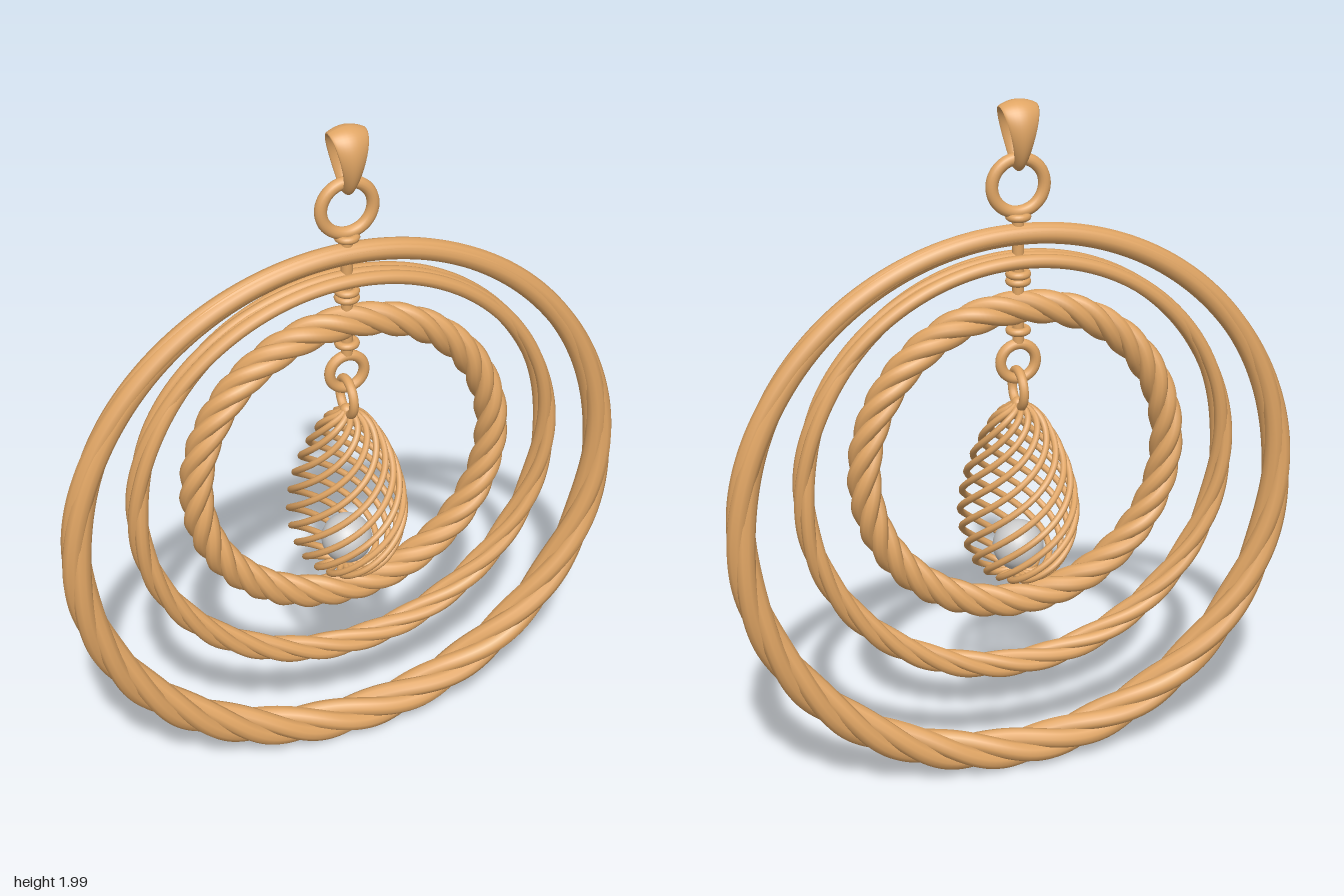
import * as THREE from 'three';

const bronze = new THREE.MeshStandardMaterial({ color: 0xe0a564 });
const grey = new THREE.MeshStandardMaterial({ color: 0xcccccc });

// Curve defined by a function of t in 0..1
class FnCurve extends THREE.Curve {
  constructor(fn) { super(); this.fn = fn; }
  getPoint(t, target = new THREE.Vector3()) { return target.copy(this.fn(t)); }
}

function add(parent, name, geometry, x = 0, y = 0, z = 0, material = bronze) {
  const mesh = new THREE.Mesh(geometry, material);
  mesh.name = name;
  mesh.position.set(x, y, z);
  parent.add(mesh);
  return mesh;
}

// Hoop of strands twisted round a circle. spread(k) gives the radial and
// z offsets of the strands, with k = 0 at the top and 1 at the bottom;
// ease slows the twist near the top.
function ropeHoop(name, { y, R, strand, count, turns, ease, spread }) {
  const hoop = new THREE.Group();
  hoop.name = name;
  hoop.position.y = y;
  for (let i = 0; i < count; i++) {
    const curve = new FnCurve((u) => {
      const t = u * Math.PI * 2;
      const phi = turns * (t - ease * Math.sin(t)) + (i / count) * Math.PI * 2;
      const [a, b] = spread((1 - Math.cos(t)) / 2);
      const r = R + a * Math.cos(phi);
      return new THREE.Vector3(r * Math.sin(t), r * Math.cos(t), b * Math.sin(phi));
    });
    curve.arcLengthDivisions = 600;
    add(hoop, name + 'Strand', new THREE.TubeGeometry(curve, 260, strand, 10, true));
  }
  return hoop;
}

// Teardrop loop, wide and ridged at the top, narrow at the bottom
function bailGeometry() {
  const N = 56, M = 24, pos = [], index = [];
  for (let i = 0; i <= N; i++) {
    const t = (i / N) * Math.PI * 2;
    const k = (1 + Math.cos(t)) / 2;
    const w = 0.016 + 0.036 * Math.pow(k, 1.2);
    const cy = 1.905 + 0.08 * Math.cos(t), cz = 0.052 * Math.sin(t) * (0.85 + 0.15 * Math.cos(t));
    const n = new THREE.Vector2(Math.sin(t) * 0.08, Math.cos(t) * 0.052).normalize();
    for (let j = 0; j <= M; j++) {
      const a = (j / M) * Math.PI * 2, s = Math.sin(a);
      const h = 0.016 * s * (0.55 + 0.45 * s * s);
      pos.push(w * Math.cos(a), cy + n.y * h, cz + n.x * h);
      if (i < N && j < M) {
        const p = i * (M + 1) + j, q = p + M + 1;
        index.push(p, p + 1, q, p + 1, q + 1, q);
      }
    }
  }
  const g = new THREE.BufferGeometry();
  g.setAttribute('position', new THREE.Float32BufferAttribute(pos, 3));
  g.setIndex(index);
  g.computeVertexNormals();
  return g;
}

export function createModel() {
  const model = new THREE.Group();
  model.name = 'pendant';

  // Three nested twisted hoops
  model.add(ropeHoop('outerHoop', {
    y: 0.85, R: 0.785, strand: 0.028, count: 4, turns: 4, ease: 0.9,
    spread: (k) => [0.002 + 0.028 * k, 0.002 + 0.03 * k],
  }));
  model.add(ropeHoop('middleHoop', {
    y: 0.956, R: 0.609, strand: 0.019, count: 4, turns: 4, ease: 0.9,
    spread: (k) => [0.002 + 0.018 * k, 0.025 - 0.004 * k],
  }));
  model.add(ropeHoop('innerHoop', {
    y: 0.99, R: 0.44, strand: 0.023, count: 4, turns: 8, ease: 0,
    spread: () => [0.024, 0.024],
  }));

  // Bail and hanging ring
  const bail = add(model, 'bail', bailGeometry());
  bail.material = bronze.clone();
  bail.material.side = THREE.DoubleSide;
  add(model, 'hangingRing', new THREE.TorusGeometry(0.073, 0.017, 14, 48), 0, 1.77);

  // Stem through the tops of the hoops, with collars
  add(model, 'stem', new THREE.CylinderGeometry(0.016, 0.016, 0.36, 16), 0, 1.51);
  for (const y of [1.685, 1.525, 1.505, 1.365]) {
    const collar = add(model, 'collar', new THREE.TorusGeometry(0.024, 0.011, 10, 28), 0, y);
    collar.rotation.x = Math.PI / 2;
  }

  // Two chain links above the cage
  add(model, 'upperLink', new THREE.TorusGeometry(0.05, 0.015, 12, 36), 0, 1.275);
  const lower = add(model, 'lowerLink', new THREE.TorusGeometry(0.051, 0.013, 12, 36), 0, 1.195);
  lower.rotation.y = Math.PI / 2;

  // Egg-shaped cage of spiral wires
  const profile = new THREE.CatmullRomCurve3([
    [0.02, 0.64], [0.075, 0.645], [0.125, 0.69], [0.153, 0.76], [0.162, 0.84],
    [0.142, 0.95], [0.1, 1.05], [0.055, 1.12], [0.012, 1.15],
  ].map(([r, y]) => new THREE.Vector3(r, y, 0)));
  const cage = new THREE.Group();
  cage.name = 'cage';
  const wires = 12;
  for (let i = 0; i < wires; i++) {
    const wire = new FnCurve((u) => {
      const p = profile.getPointAt(u);
      const a = (i / wires + u * 0.85) * Math.PI * 2;
      return new THREE.Vector3(p.x * Math.sin(a), p.y, p.x * Math.cos(a));
    });
    add(cage, 'cageWire', new THREE.TubeGeometry(wire, 72, 0.0095, 8));
  }
  add(cage, 'cageTop', new THREE.SphereGeometry(0.02, 16, 12), 0, 1.15);
  model.add(cage);

  // Loose ball inside the cage
  add(model, 'ball', new THREE.SphereGeometry(0.072, 32, 24), 0, 0.722, 0, grey);

  return model;
}
